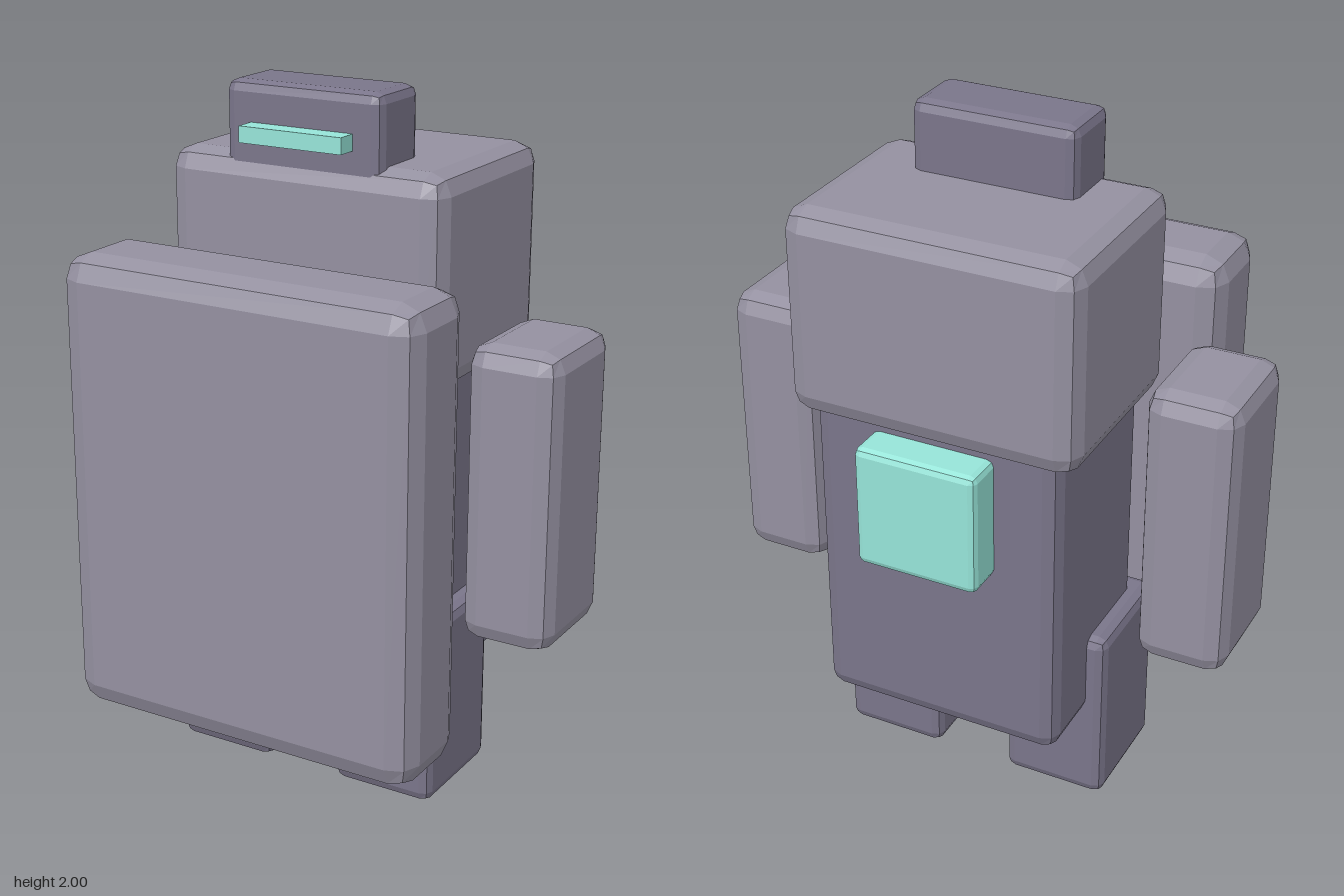
import * as THREE from 'three';
import { RoundedBoxGeometry } from 'three/addons/geometries/RoundedBoxGeometry.js';

const material = (color) => new THREE.MeshStandardMaterial({ color, flatShading: true });

// Box given by its extents on each axis, with bevelled edges when bevel > 0
function block(name, [x0, x1], [y0, y1], [z0, z1], bevel, mat) {
  const size = [x1 - x0, y1 - y0, z1 - z0];
  const geometry = bevel > 0
    ? new RoundedBoxGeometry(...size, 1, bevel)
    : new THREE.BoxGeometry(...size);
  const mesh = new THREE.Mesh(geometry, mat);
  mesh.name = name;
  mesh.position.set((x0 + x1) / 2, (y0 + y1) / 2, (z0 + z1) / 2);
  return mesh;
}

export function createModel() {
  const model = new THREE.Group();
  model.name = 'shieldRobot';
  const armour = material(0x9490a0);
  const dark = material(0x7a758a);
  const glow = material(0x96e4d8);

  // Trunk and head
  model.add(
    block('lowerBody', [-0.365, 0.365], [0.29, 1.3], [-0.41, 0.125], 0.045, dark),
    block('chest', [-0.425, 0.425], [1.21, 1.805], [-0.445, 0.16], 0.06, armour),
    block('head', [-0.24, 0.24], [1.74, 2.0], [-0.065, 0.145], 0.03, dark),
    block('visor', [-0.157, 0.157], [1.845, 1.89], [0.12, 0.205], 0, glow),
    block('backPanel', [-0.18, 0.18], [0.84, 1.2], [-0.52, -0.38], 0.02, glow),
  );

  // Shield held in front of the body
  model.add(block('shield', [-0.545, 0.545], [0.23, 1.56], [0.215, 0.515], 0.07, armour));

  // Mirrored limbs
  for (const [side, s] of [['left', 1], ['right', -1]]) {
    const span = (a, b) => (s > 0 ? [a, b] : [-b, -a]);
    model.add(
      block(side + 'Arm', span(0.5, 0.765), [0.54, 1.38], [-0.2, 0.16], 0.055, armour),
      block(side + 'Leg', span(0.11, 0.42), [0, 0.55], [-0.2, 0.16], 0.03, dark),
    );
  }
  return model;
}
